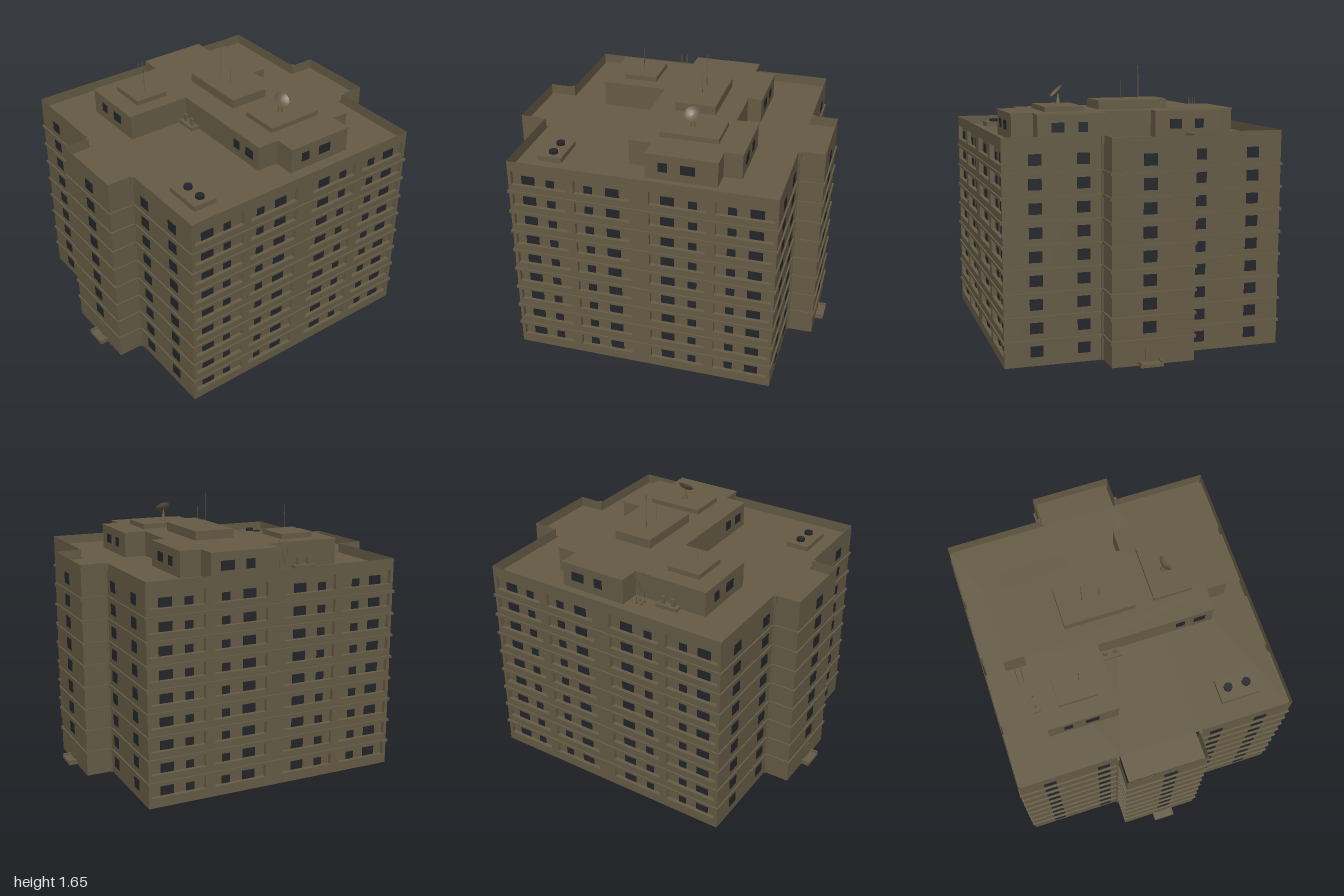
import * as THREE from 'three';

const wallMat = new THREE.MeshStandardMaterial({ color: 0x655b45, side: THREE.DoubleSide });
wallMat.name = 'drabConcrete';
const glassMat = new THREE.MeshStandardMaterial({ color: 0x23252a });
glassMat.name = 'darkGlass';

const H = 1.29, DECK = 1.235, FLOORS = 9, STEP = 0.135;
const W = 0.83, D = 0.79;

// Cross-shaped plan, grown outward by o; edges 5 and 11 are the long sides
const plan = (o) => {
  const w = W + o, d = D + o, l = -0.235 - o, r = 0.255 + o, e = 0.95 + o;
  return [[-w, d], [l, d], [l, e], [r, e], [r, d], [w, d],
    [w, -d], [r, -d], [r, -e], [l, -e], [l, -d], [-w, -d]];
};
const toShape = (pts) => new THREE.Shape(pts.map(([x, z]) => new THREE.Vector2(x, z)));

export function createModel() {
  const model = new THREE.Group();
  model.name = 'apartmentBlock';

  const add = (name, geo, x = 0, y = 0, z = 0, mat = wallMat, parent = model) => {
    const m = new THREE.Mesh(geo, mat);
    m.name = name;
    m.position.set(x, y, z);
    parent.add(m);
    return m;
  };
  const group = (name) => {
    const g = new THREE.Group();
    g.name = name;
    model.add(g);
    return g;
  };
  // Box given by its bottom centre
  const box = (name, x, y, z, w, h, d, mat = wallMat, parent = model) =>
    add(name, new THREE.BoxGeometry(w, h, d), x, y + h / 2, z, mat, parent);
  // Horizontal slab with its top at y
  const slab = (name, shape, y, h) =>
    add(name, new THREE.ExtrudeGeometry(shape, { depth: h, bevelEnabled: false }).rotateX(Math.PI / 2), 0, y, 0);
  const rod = (name, x, y0, y1, z, r) =>
    add(name, new THREE.CylinderGeometry(r, r, y1 - y0, 6), x, (y0 + y1) / 2, z);

  // Balcony niches: z range, large window z, small window z
  const niches = [
    [0.44, 0.77, 0.675, 0.54], [0.06, 0.39, 0.165, 0.31],
    [-0.385, -0.055, -0.158, -0.305], [-0.77, -0.44, -0.67, -0.53],
  ];
  const NH = 0.087, ND = 0.025;
  const nicheY = (f) => 0.058 + f * STEP;

  // Thin outer walls, open at the bottom, rising to the parapet
  const pts = plan(0);
  pts.forEach(([x0, z0], i) => {
    const [x1, z1] = pts[(i + 1) % pts.length];
    const len = Math.hypot(x1 - x0, z1 - z0), h = len / 2;
    const shape = toShape([[-h, 0], [h, 0], [h, H], [-h, H]]);
    if (i === 5 || i === 11) {
      const s = i === 5 ? -1 : 1;
      for (let f = 0; f < FLOORS; f++) for (const [a, b] of niches) {
        const u0 = Math.min(s * a, s * b), u1 = Math.max(s * a, s * b), y = nicheY(f);
        shape.holes.push(toShape([[u0, y], [u0, y + NH], [u1, y + NH], [u1, y]]));
      }
    }
    const m = add('outerWall', new THREE.ShapeGeometry(shape), (x0 + x1) / 2, 0, (z0 + z1) / 2);
    m.rotation.y = Math.atan2(z0 - z1, x1 - x0);
  });

  // Recessed niches with their windows on both long sides
  const balconies = group('balconies');
  for (const s of [1, -1]) for (let f = 0; f < FLOORS; f++) for (const [a, b, big, small] of niches) {
    const geo = new THREE.BoxGeometry(ND, NH, b - a);
    const idx = Array.from(geo.index.array);
    idx.splice(s > 0 ? 0 : 6, 6); // leave the outward side open
    geo.setIndex(idx);
    geo.clearGroups();
    const y = nicheY(f), x = s * (W - ND + 0.003);
    add('balconyNiche', geo, s * (W - ND / 2), y + NH / 2, (a + b) / 2, wallMat, balconies);
    box('largeBalconyWindow', x, y + 0.002, big, 0.004, 0.053, 0.08, glassMat, balconies);
    box('smallBalconyWindow', x, y + 0.002, small, 0.004, 0.046, 0.05, glassMat, balconies);
  }

  // Front and back windows, doors and steps
  const ends = group('endWindows');
  for (const s of [1, -1]) {
    for (let f = 0; f < FLOORS; f++) {
      const y = 0.053 + f * STEP;
      for (const x of [-0.65, -0.325, 0.37, 0.645])
        box('window', x, y, s * D, 0.075, 0.063, 0.006, glassMat, ends);
      if (f > 0) box('bayWindow', 0.033, y - 0.002, s * 0.95, 0.08, 0.067, 0.006, glassMat, ends);
    }
    box('door', 0.032, 0.02, s * 0.95, 0.055, 0.09, 0.006);
    box('entranceStep', 0.032, 0, s * 0.975, 0.135, 0.018, 0.05);
    for (const x of [-0.03, 0.094]) box('stepCheek', x, 0, s * 0.975, 0.01, 0.03, 0.05);
    // Drainpipes in the inner corners
    for (const x of [-0.241, 0.261]) {
      rod('drainpipe', x, 0, H - 0.04, s * 0.796, 0.007);
      box('rainHopper', x, H - 0.045, s * 0.798, 0.018, 0.045, 0.018);
    }
  }

  // Storey bands
  for (let f = 1; f < FLOORS; f++) {
    const ring = toShape(plan(0.009));
    ring.holes.push(toShape(plan(0)));
    slab('storeyBand', ring, 0.018 + f * STEP, 0.016);
  }

  // Roof deck, slightly inside the parapet
  slab('roofDeck', toShape(plan(-0.013)), DECK, 0.005);

  // Penthouse with a thin roof edge
  const house = [[-0.705, -0.35], [-0.575, -0.35], [-0.575, -0.48], [-0.16, -0.48], [-0.16, -0.395],
    [0.16, -0.395], [0.16, -0.53], [0.57, -0.53], [0.57, -0.42], [0.7, -0.42], [0.7, 0.005], [0.57, 0.005],
    [0.57, 0.14], [-0.15, 0.14], [-0.15, 0.54], [-0.575, 0.54], [-0.575, 0.075], [-0.705, 0.075]];
  slab('penthouse', toShape(house), 1.384, 1.384 - DECK);
  const cx = 0, cz = 0.005;
  slab('penthouseRoof', toShape(house.map(([x, z]) => [cx + (x - cx) * 1.008, cz + (z - cz) * 1.008])), 1.392, 0.008);

  // Penthouse windows: x, z, width along the wall
  const py = 1.285, ph = 0.056;
  for (const [x, z, w] of [[-0.455, 0.54, 0.052], [-0.31, 0.54, 0.08], [0.365, 0.14, 0.055], [0.485, 0.14, 0.07],
    [0.45, -0.53, 0.075], [0.3, -0.53, 0.055], [-0.29, -0.48, 0.075], [-0.44, -0.48, 0.055]])
    box('penthouseWindow', x, py, z, w, ph, 0.006, glassMat);
  for (const s of [1, -1]) for (const [z, w] of [[-0.1, 0.055], [-0.245, 0.085]])
    box('penthouseSideWindow', s > 0 ? 0.7 : -0.705, py, z, 0.006, ph, w, glassMat);

  // Raised roof blocks
  box('middleRoofBlock', -0.088, 1.39, -0.135, 0.435, 0.057, 0.25);
  box('dishRoofBlock', 0.37, 1.39, -0.195, 0.24, 0.032, 0.35);
  box('frontRoofBlock', -0.358, 1.39, 0.33, 0.235, 0.032, 0.21);

  // Antennas
  rod('antenna', -0.325, 1.42, 1.58, 0.33, 0.002);
  rod('antenna', -0.163, 1.445, 1.655, -0.13, 0.002);
  rod('antenna', -0.055, 1.445, 1.56, -0.13, 0.002);

  // Four-legged mast
  for (const x of [-0.655, -0.622]) for (const z of [0.132, 0.165]) {
    rod('mastLeg', x, DECK, 1.43, z, 0.002);
    box('mastFoot', x, DECK, z, 0.012, 0.012, 0.012);
  }

  // Satellite dish
  add('dishStand', new THREE.CylinderGeometry(0.003, 0.017, 0.07, 8), 0.362, 1.455, -0.185);
  const profile = [[0, -0.014], [0.02, -0.011], [0.037, -0.005], [0.05, 0.004]].map(([x, y]) => new THREE.Vector2(x, y));
  const dish = add('dish', new THREE.LatheGeometry(profile, 16), 0.372, 1.502, -0.185);
  dish.rotation.z = -Math.PI / 4;

  // Rooftop fan unit
  box('fanPlinth', 0.562, DECK, 0.592, 0.235, 0.03, 0.145);
  for (const x of [0.507, 0.62])
    add('fan', new THREE.CylinderGeometry(0.026, 0.026, 0.018, 10), x, DECK + 0.039, 0.587, glassMat);

  // Small vent plinths
  box('ventPlinth', -0.083, DECK, 0.168, 0.135, 0.02, 0.055);
  for (const x of [-0.115, -0.053]) box('vent', x, DECK + 0.02, 0.168, 0.024, 0.045, 0.014);
  box('ventPlinth', -0.602, DECK, 0.31, 0.046, 0.02, 0.14);
  for (const z of [0.277, 0.343]) box('vent', -0.6, DECK + 0.02, z, 0.014, 0.045, 0.024);

  return model;
}
